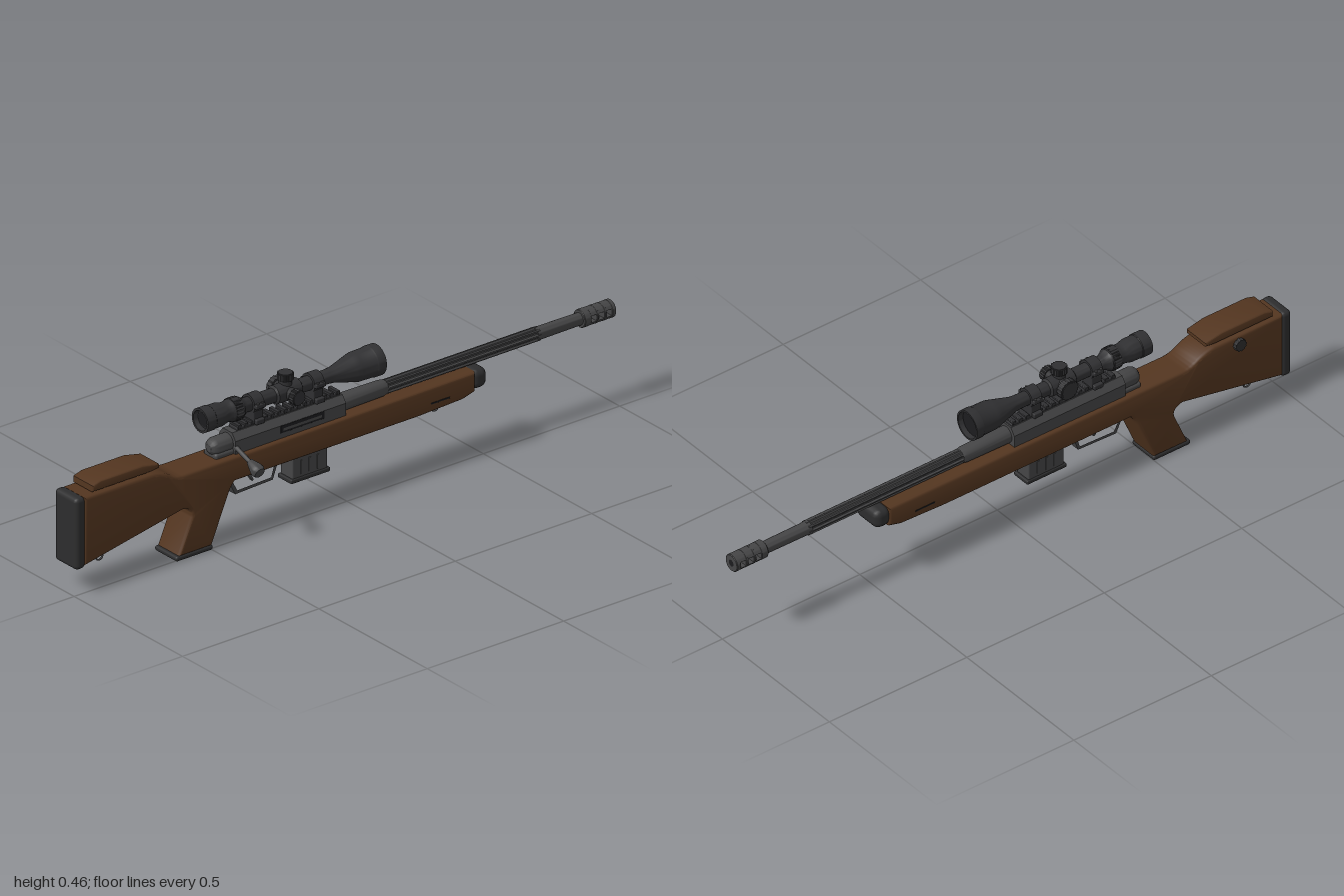
import * as THREE from 'three';
import { toCreasedNormals } from 'three/addons/utils/BufferGeometryUtils.js';
import { RoundedBoxGeometry } from 'three/addons/geometries/RoundedBoxGeometry.js';

const CX = -0.042;      // centre plane of the rifle
const BORE = 0.298;     // height of the barrel axis
const SCOPE = 0.395;    // height of the scope axis

const mat = (name, color) => Object.assign(new THREE.MeshStandardMaterial({ color }), { name });

export function createModel() {
  const wood = mat('wood', 0x543620);
  const rubber = mat('black rubber', 0x2d2d2e);
  const steel = mat('gun steel', 0x454546);
  const scopeBlack = mat('scope black', 0x303032);
  const dark = mat('dark recess', 0x1c1c1e);

  const root = new THREE.Group();
  root.name = 'rifle';

  const add = (name, geo, material, x = CX, y = 0, z = 0) => {
    const m = new THREE.Mesh(geo, material);
    m.name = name;
    m.position.set(x, y, z);
    root.add(m);
    return m;
  };
  const box = (name, material, w, y0, y1, z0, z1, r = 0.003, x = CX) =>
    add(name, new RoundedBoxGeometry(w, y1 - y0, z1 - z0, 2, r), material, x, (y0 + y1) / 2, (z0 + z1) / 2);

  // Side profile in (z, y), extruded across the width
  const side = (name, shape, width, bevel, material) => {
    const g = new THREE.ExtrudeGeometry(shape, {
      depth: width - 2 * bevel, bevelEnabled: bevel > 0, bevelSize: bevel, bevelOffset: -bevel,
      bevelThickness: bevel, bevelSegments: 3, curveSegments: 8,
    });
    g.translate(0, 0, -(width - 2 * bevel) / 2).rotateY(-Math.PI / 2);
    return add(name, toCreasedNormals(g, 0.6), material);
  };
  const poly = (pts) => new THREE.Shape(pts.map(([a, b]) => new THREE.Vector2(a, b)));

  // Cross section in (x, y), extruded from z0 to z1
  const along = (name, shape, z0, z1, y, material) => {
    const g = new THREE.ExtrudeGeometry(shape, { depth: z1 - z0, bevelEnabled: false, curveSegments: 12 });
    return add(name, toCreasedNormals(g, 0.6), material, CX, y, z0);
  };
  // Turned part around the z axis, profile points are [z, radius] with rising z
  const turned = (name, pts, y, material, seg = 32) => {
    const g = new THREE.LatheGeometry(pts.map(([z, r]) => new THREE.Vector2(r, z)), seg);
    return add(name, toCreasedNormals(g.rotateX(Math.PI / 2), 0.6), material, CX, y, 0);
  };
  // Ribbed cylinder cross section
  const ribbed = (r, n, depth) => {
    const pts = [];
    for (let i = 0; i < n * 4; i++) {
      const a = (i / (n * 4)) * Math.PI * 2, rr = i % 4 < 2 ? r : r - depth;
      pts.push([Math.cos(a) * rr, Math.sin(a) * rr]);
    }
    return poly(pts);
  };

  // Stock with pistol grip
  const s = new THREE.Shape();
  s.moveTo(0.968, 0.308);
  s.lineTo(0.72, 0.308);
  s.quadraticCurveTo(0.68, 0.302, 0.65, 0.283);
  s.quadraticCurveTo(0.63, 0.27, 0.60, 0.27);
  s.lineTo(-0.465, 0.275);
  s.lineTo(-0.465, 0.212);
  s.lineTo(-0.42, 0.2);
  s.lineTo(-0.26, 0.194);
  s.lineTo(0.415, 0.194);
  s.quadraticCurveTo(0.43, 0.18, 0.44, 0.155);
  s.lineTo(0.5, 0.014);
  s.lineTo(0.622, 0.014);
  s.lineTo(0.575, 0.125);
  s.quadraticCurveTo(0.568, 0.155, 0.605, 0.16);
  s.lineTo(0.968, 0.09);
  side('stock', s, 0.104, 0.01, wood);
  side('cheekRest', poly([[0.935, 0.314], [0.935, 0.334], [0.905, 0.343], [0.75, 0.343], [0.69, 0.33], [0.69, 0.318], [0.72, 0.314]]),
    0.092, 0.005, wood);
  for (const z of [0.76, 0.88]) box('cheekRestPost', steel, 0.03, 0.3, 0.32, z - 0.012, z + 0.012);
  box('recoilPad', rubber, 0.104, 0.082, 0.311, 0.963, 1.0, 0.014);
  box('gripCap', rubber, 0.104, 0, 0.016, 0.497, 0.632, 0.007);
  box('foreEndCap', rubber, 0.104, 0.214, 0.277, -0.512, -0.455, 0.022);

  // Shallow slots on the fore-end sides
  for (const sx of [-1, 1]) box('foreEndSlot', dark, 0.002, 0.221, 0.226, -0.37, -0.3, 0.0008, CX + sx * 0.052);

  // Accessory rail under the fore-end
  box('lowerRail', rubber, 0.04, 0.19, 0.2, -0.26, 0.03);
  for (let i = 0; i < 12; i++) box('lowerRailTooth', rubber, 0.04, 0.186, 0.194, -0.257 + i * 0.024, -0.244 + i * 0.024, 0.002);

  // Sling loops
  for (const [y, z] of [[0.076, 0.875], [0.178, -0.355]]) {
    const ring = add('slingLoop', new THREE.TorusGeometry(0.0125, 0.0028, 8, 20), steel, CX, y, z);
    ring.rotation.y = Math.PI / 2;
    add('slingStud', new THREE.CylinderGeometry(0.004, 0.004, 0.022, 10), steel, CX, y + 0.02, z);
  }

  // Cheek rest adjustment knob on the right side
  const knob = along('cheekKnob', ribbed(0.02, 12, 0.002), 0, 0.014, 0.281, rubber);
  knob.rotation.y = -Math.PI / 2;
  knob.position.set(-0.093, 0.281, 0.805);

  // Receiver, bolt shroud and ejection port
  const w = 0.038;
  along('receiver', poly([[-w, -0.035], [w, -0.035], [w, 0.014], [0.022, 0.036], [-0.022, 0.036], [-w, 0.014]]), 0, 0.405, BORE, steel);
  box('receiverTang', steel, 0.06, 0.262, 0.285, 0.39, 0.47, 0.008);
  turned('boltShroud', [[0.39, 0.028], [0.455, 0.028], [0.468, 0.022], [0.475, 0.012], [0.475, 0]], BORE, steel);
  box('ejectionPort', dark, 0.003, 0.288, 0.312, 0.08, 0.24, 0.001, CX + w);
  turned('bolt', [[0.09, 0], [0.09, 0.018], [0.23, 0.018], [0.23, 0]], BORE, steel).position.x = CX + 0.022;

  // Bolt handle
  const handle = new THREE.CatmullRomCurve3([
    new THREE.Vector3(-0.01, 0.292, 0.4), new THREE.Vector3(0.02, 0.281, 0.4), new THREE.Vector3(0.062, 0.262, 0.396)]);
  add('boltHandle', new THREE.TubeGeometry(handle, 10, 0.007, 12), steel, 0);
  const grip = new THREE.LatheGeometry(
    [[0, 0], [0.01, 0], [0.02, 0.03], [0.021, 0.04], [0.017, 0.05], [0, 0.053]].map(([r, y]) => new THREE.Vector2(r, y)), 20);
  add('boltKnob', toCreasedNormals(grip, 0.8), steel, 0.052, 0.267, 0.397).rotation.z = -Math.PI / 2 - 0.4;

  // Barrel: shank, fluted section, plain end
  turned('barrelShank', [[-0.17, 0.022], [-0.155, 0.025], [0.01, 0.027]], BORE, steel);
  along('flutedBarrel', ribbed(0.0225, 8, 0.005), -0.73, -0.15, BORE, steel);
  turned('barrelEnd', [[-0.9, 0.019], [-0.74, 0.02], [-0.72, 0.022], [-0.72, 0]], BORE, steel);

  // Muzzle brake with ports open from side to side
  const R = 0.028;
  for (const [a, b] of [[-1, -0.985], [-0.966, -0.957], [-0.938, -0.929], [-0.91, -0.885]])
    turned('brakeRing', [[a, 0], [a, R - 0.002], [a + 0.002, R], [b - 0.002, R], [b, R - 0.002], [b, 0]], BORE, steel);
  for (const up of [0, Math.PI]) {
    const arc = new THREE.Shape();
    arc.absarc(0, 0, R - 0.0005, up + 0.4, up + Math.PI - 0.4, false);
    along('brakeBridge', arc, -0.99, -0.9, BORE, steel);
  }
  add('muzzleBore', new THREE.CircleGeometry(0.011, 20), dark, CX, BORE, -1.0005).rotation.y = Math.PI;

  // Trigger guard and trigger
  const guard = poly([[0.41, 0.198], [0.405, 0.165], [0.388, 0.13], [0.25, 0.135], [0.232, 0.185], [0.232, 0.198]]);
  guard.holes.push(new THREE.Path([[0.4, 0.19], [0.395, 0.167], [0.38, 0.14], [0.256, 0.144], [0.242, 0.19]].map(([a, b]) => new THREE.Vector2(a, b))));
  side('triggerGuard', guard, 0.03, 0, steel);
  side('trigger', poly([[0.335, 0.195], [0.318, 0.195], [0.322, 0.17], [0.312, 0.15], [0.318, 0.148], [0.331, 0.168]]), 0.012, 0.001, steel);
  box('bottomMetal', steel, 0.05, 0.186, 0.198, 0.03, 0.42);

  // Magazine
  box('magazine', steel, 0.056, 0.115, 0.2, 0.06, 0.188, 0.004);
  box('magazineFloor', rubber, 0.064, 0.108, 0.122, 0.052, 0.196, 0.004);
  for (const sx of [-1, 1]) for (const z of [0.095, 0.125, 0.155])
    box('magazineRib', steel, 0.004, 0.13, 0.175, z - 0.004, z + 0.004, 0.001, CX + sx * 0.028);

  // Scope rail
  box('scopeRail', scopeBlack, 0.038, 0.33, 0.342, 0.005, 0.385);
  for (let i = 0; i < 16; i++) box('scopeRailTooth', scopeBlack, 0.042, 0.338, 0.349, 0.008 + i * 0.024, 0.021 + i * 0.024, 0.002);

  // Scope body with recessed lenses
  turned('scopeBody', [
    [-0.125, 0], [-0.125, 0.041], [-0.142, 0.042], [-0.142, 0.048], [-0.115, 0.048], [-0.112, 0.046], [-0.06, 0.045],
    [-0.04, 0.04], [0.02, 0.024], [0.04, 0.022], [0.145, 0.022], [0.15, 0.029], [0.235, 0.029], [0.24, 0.022],
    [0.345, 0.022], [0.36, 0.03], [0.365, 0.034], [0.4, 0.034], [0.405, 0.031], [0.42, 0.031], [0.44, 0.036],
    [0.47, 0.036], [0.472, 0.038], [0.505, 0.038], [0.505, 0.031], [0.49, 0.028], [0.49, 0]], SCOPE, scopeBlack, 40);
  add('eyeLens', new THREE.CircleGeometry(0.024, 28), dark, CX, SCOPE, 0.4915);
  add('frontLens', new THREE.CircleGeometry(0.039, 28), dark, CX, SCOPE, -0.1265).rotation.y = Math.PI;
  along('zoomRing', ribbed(0.0365, 24, 0.002), 0.37, 0.395, SCOPE, scopeBlack);

  // Scope rings with clamps and screws
  for (const z of [0.31, 0.09]) {
    turned('scopeRing', [[z - 0.018, 0.02], [z - 0.018, 0.03], [z + 0.018, 0.03], [z + 0.018, 0.02]], SCOPE, scopeBlack);
    box('ringBase', scopeBlack, 0.05, 0.338, 0.378, z - 0.018, z + 0.018);
    box('ringClamp', scopeBlack, 0.074, 0.338, 0.354, z - 0.016, z + 0.016);
    box('ringJoint', scopeBlack, 0.076, 0.388, 0.402, z - 0.018, z + 0.018);
    for (const sx of [-1, 1]) for (const dz of [-0.009, 0.009])
      add('ringScrew', new THREE.CylinderGeometry(0.004, 0.004, 0.004, 10), steel, CX + sx * 0.033, 0.403, z + dz);
  }

  // Adjustment turrets: top, left and right
  const turret = (name, r, reach, rx, ry) => {
    const t = new THREE.Group();
    t.name = name;
    const neck = new THREE.Mesh(new THREE.CylinderGeometry(r * 0.78, r * 0.78, reach - 0.01, 24).rotateX(Math.PI / 2), scopeBlack);
    neck.position.z = (reach - 0.01) / 2;
    neck.name = 'turretNeck';
    const cap = along('turretCap', ribbed(r, 18, 0.002), 0, 0.02, 0, scopeBlack);
    cap.position.set(0, 0, reach - 0.022);
    const lid = new THREE.Mesh(new THREE.CylinderGeometry(r * 0.85, r * 0.85, 0.004, 24).rotateX(Math.PI / 2), scopeBlack);
    lid.position.z = reach - 0.002;
    lid.name = 'turretLid';
    t.add(neck, cap, lid);
    t.position.set(CX, SCOPE, 0.192);
    t.rotation.set(rx, ry, 0);
    root.add(t);
  };
  turret('elevationTurret', 0.025, 0.061, -Math.PI / 2, 0);
  turret('windageTurret', 0.024, 0.065, 0, Math.PI / 2);
  turret('focusTurret', 0.032, 0.052, 0, -Math.PI / 2);

  return root;
}
